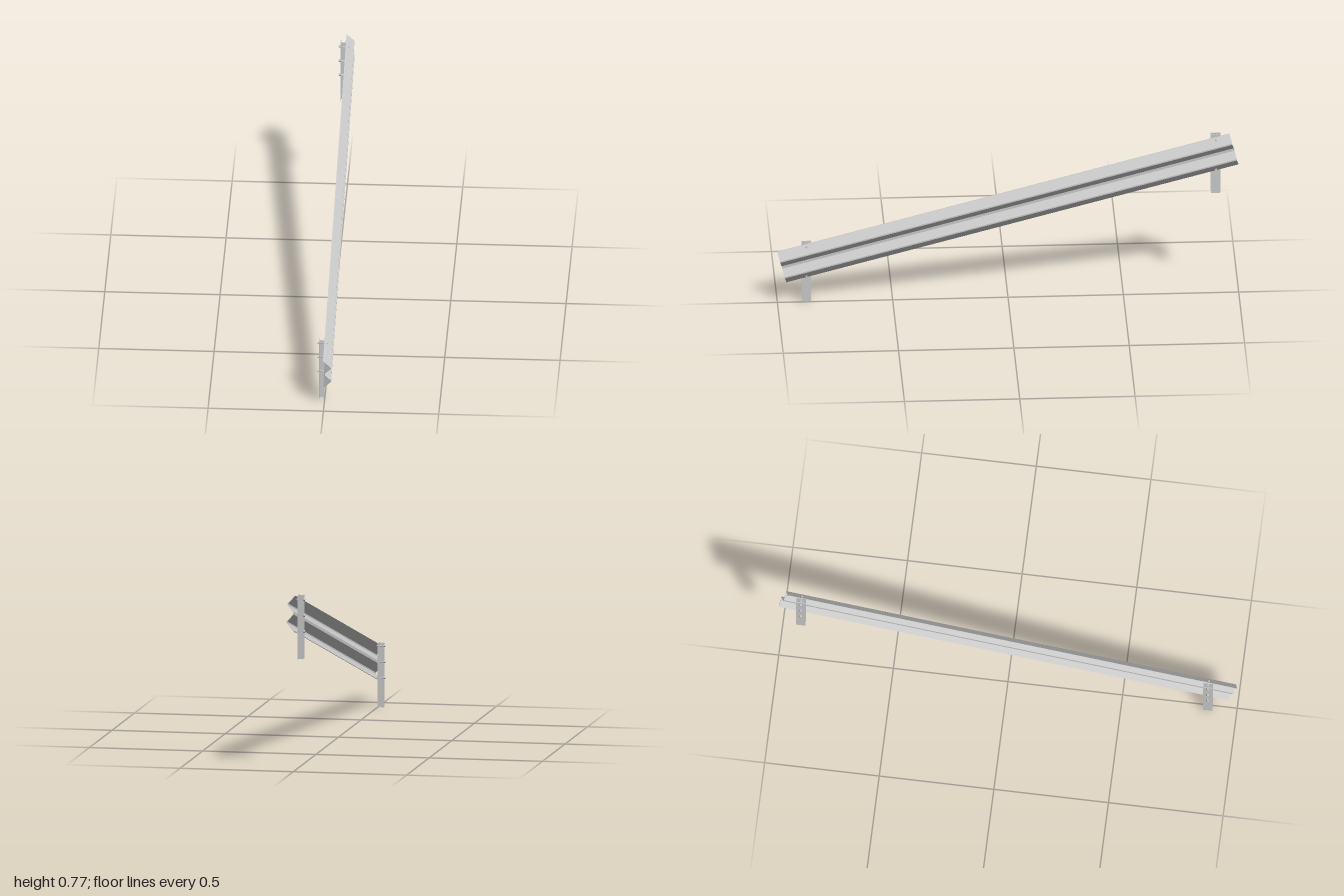
import * as THREE from 'three';

const mat = new THREE.MeshStandardMaterial({ color: 0xcccccc, flatShading: true });

function add(parent, name, geometry, x = 0, y = 0, z = 0) {
  const mesh = new THREE.Mesh(geometry, mat);
  mesh.name = name;
  mesh.position.set(x, y, z);
  parent.add(mesh);
  return mesh;
}

// W-shaped rail section: face line, then the same line shifted back by the sheet thickness
function railGeometry(length) {
  const half = [[0.002, 0.0765], [0.032, 0.042], [0.032, 0.036], [0.006, 0.006]];
  const face = [...half, ...half.map(([x, v]) => [x, -v]).reverse()];
  const t = 0.004;
  const back = face.map(([x, v]) => [x - t, v]).reverse();
  const shape = new THREE.Shape([...face, ...back].map(([x, v]) => new THREE.Vector2(x, v)));
  const geo = new THREE.ExtrudeGeometry(shape, { depth: length, bevelEnabled: false });
  return geo.translate(0, 0, -length / 2);
}

// Upright H-section post standing on its own origin
function makePost(height) {
  const post = new THREE.Group();
  post.name = 'post';
  const width = 0.042, t = 0.003, xBack = -0.025, xFront = -0.002;
  const mid = (xBack + xFront) / 2;
  add(post, 'backFlange', new THREE.BoxGeometry(t, height, width), xBack + t / 2, height / 2);
  add(post, 'frontFlange', new THREE.BoxGeometry(t, height, width), xFront - t / 2, height / 2);
  add(post, 'web', new THREE.BoxGeometry(xFront - xBack - 2 * t, height, t), mid, height / 2);
  return post;
}

// Bolt lying along x, with a nut behind the post and a head on the rail
function makeBolt() {
  const bolt = new THREE.Group();
  bolt.name = 'bolt';
  const rod = (r, len, sides) => new THREE.CylinderGeometry(r, r, len, sides).rotateZ(Math.PI / 2);
  add(bolt, 'shank', rod(0.003, 0.044, 10), -0.011);
  add(bolt, 'nut', rod(0.006, 0.007, 6), -0.0285);
  add(bolt, 'head', rod(0.005, 0.006, 10), 0.011);
  return bolt;
}

export function createModel() {
  const model = new THREE.Group();
  model.name = 'guardrail';
  const slope = 0.2595, centreY = 0.431;

  // Sloping rail, low end to the front
  const rail = add(model, 'rail', railGeometry(2.028), 0, centreY, 0);
  rail.rotation.x = slope;

  // Posts with three bolts each
  for (const [z, base, height] of [[0.874, 0, 0.282], [-0.901, 0.48, 0.28]]) {
    const post = makePost(height);
    post.position.set(0, base, z);
    model.add(post);
    for (const dy of [-0.07, 0, 0.07]) {
      const bolt = makeBolt();
      bolt.position.set(0, centreY - z * Math.tan(slope) + dy, z);
      model.add(bolt);
    }
  }
  return model;
}
